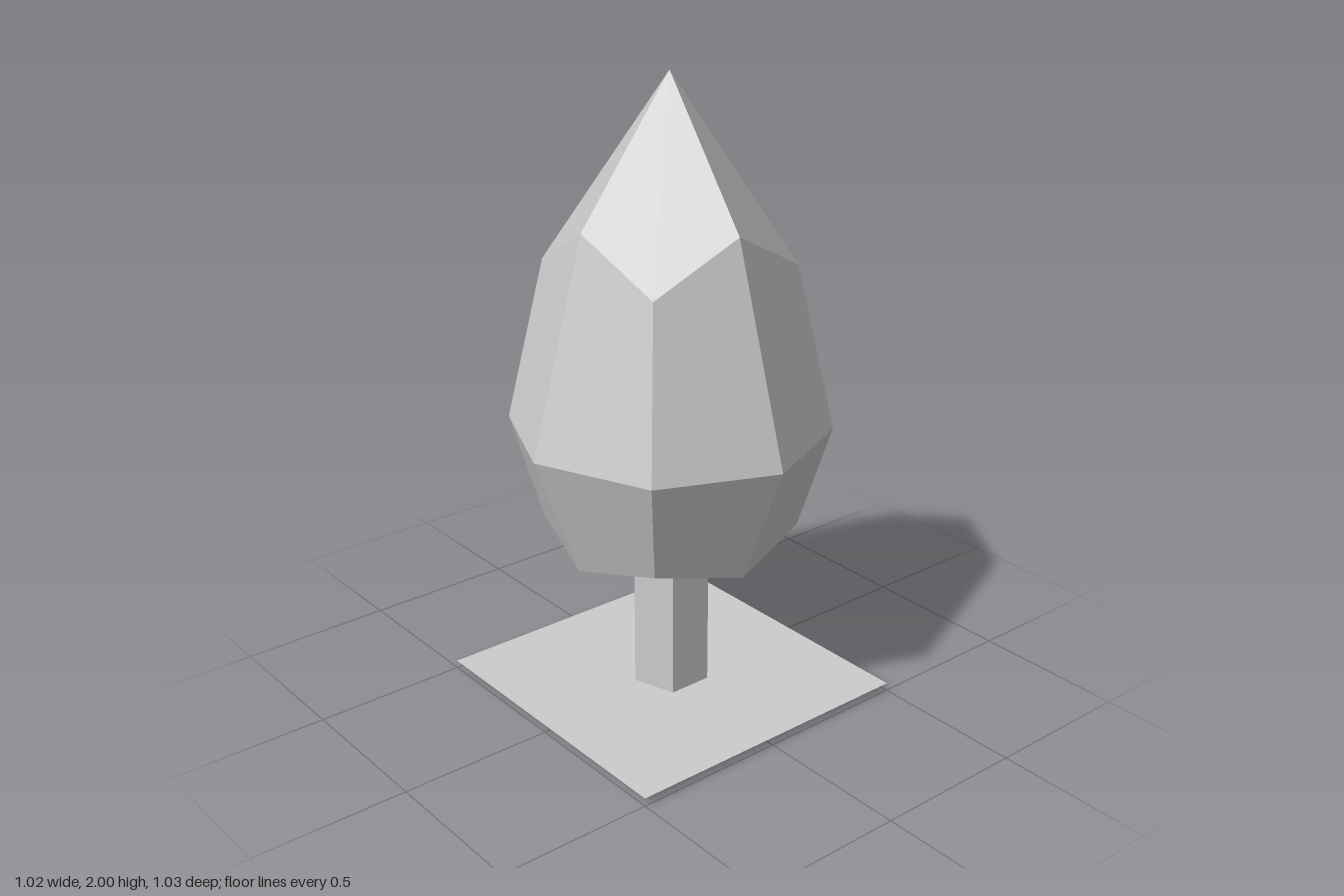
import * as THREE from 'three';

const material = new THREE.MeshStandardMaterial({ color: 0xcccccc, side: THREE.DoubleSide });

// Eight points around y: straight ones (on the axes) alternate with diagonal ones.
function ring(straight, diagonal) {
  return Array.from({ length: 8 }, (_, k) => {
    const [x, y, z] = k % 2 ? diagonal : straight;
    const a = (k * Math.PI) / 4;
    return new THREE.Vector3(Math.sign(Math.round(Math.sin(a) * 2)) * x, y, Math.sign(Math.round(Math.cos(a) * 2)) * z);
  });
}

// Crown: a rounded cage of 24 flat-shaded quads, three rings and two tips.
function crownGeometry() {
  const top = new THREE.Vector3(0, 2, 0);
  const bottom = new THREE.Vector3(0, 0.373, 0);
  const low = ring([0.355, 0.515, 0.35], [0.285, 0.58, 0.28]);
  const middle = ring([0.51, 0.917, 0.515], [0.355, 0.912, 0.355]);
  const high = ring([0.325, 1.575, 0.312], [0.275, 1.43, 0.265]);
  const positions = [];
  const normals = [];

  // One shared normal per quad
  const quad = (a, b, c, d) => {
    const n = c.clone().sub(a).cross(d.clone().sub(b)).normalize();
    for (const p of [a, b, c, a, c, d]) {
      positions.push(p.x, p.y, p.z);
      normals.push(n.x, n.y, n.z);
    }
  };

  for (let k = 0; k < 8; k++) {
    const next = (k + 1) % 8;
    quad(low[k], low[next], middle[next], middle[k]);
    quad(middle[k], middle[next], high[next], high[k]);
  }
  for (let k = 0; k < 8; k += 2) {
    const after = (k + 2) % 8;
    quad(top, high[k], high[k + 1], high[after]);
    quad(bottom, low[after], low[k + 1], low[k]);
  }

  const geometry = new THREE.BufferGeometry();
  geometry.setAttribute('position', new THREE.Float32BufferAttribute(positions, 3));
  geometry.setAttribute('normal', new THREE.Float32BufferAttribute(normals, 3));
  return geometry;
}

export function createModel() {
  const model = new THREE.Group();
  model.name = 'tree';

  const add = (name, geometry, mat = material) => {
    const mesh = new THREE.Mesh(geometry, mat);
    mesh.name = name;
    model.add(mesh);
    return mesh;
  };

  add('crown', crownGeometry());

  // Open five-sided trunk, one corner to the back
  const flat = material.clone();
  flat.flatShading = true;
  const trunk = add('trunk', new THREE.CylinderGeometry(0.123, 0.123, 0.46, 5, 1, true), flat);
  trunk.rotation.y = Math.PI;
  trunk.position.set(0, 0.23, 0.006);

  // Thin ground square, just above the foot of the trunk
  const ground = add('groundPatch', new THREE.PlaneGeometry(1, 1));
  ground.rotation.x = -Math.PI / 2;
  ground.position.y = 0.026;

  return model;
}
